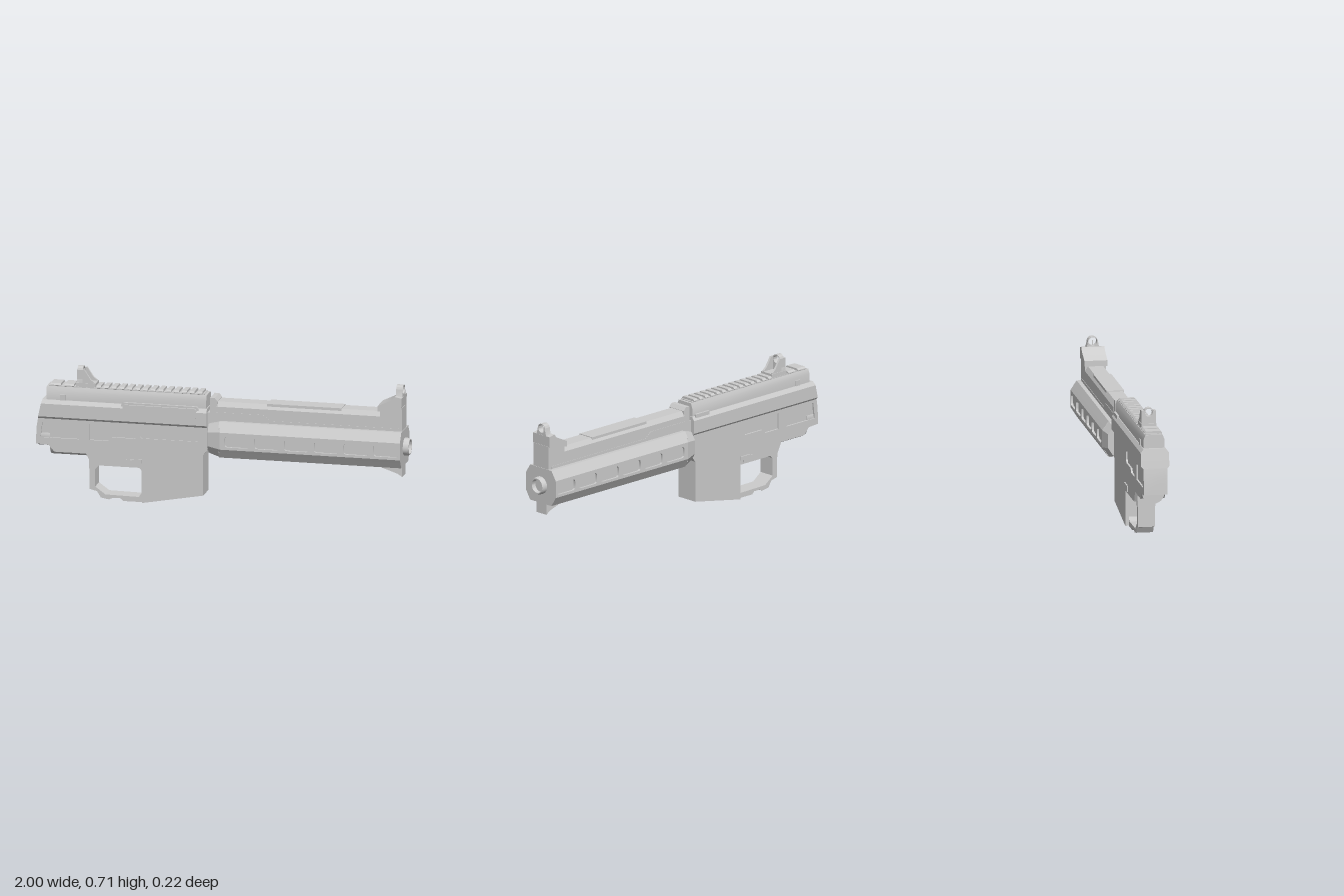
import * as THREE from 'three';
import { toCreasedNormals } from 'three/addons/utils/BufferGeometryUtils.js';

const grey = new THREE.MeshStandardMaterial({ color: 0xcccccc });
const shapeOf = pts => new THREE.Shape(pts.map(p => new THREE.Vector2(...p)));
const mirrorPts = half => [...half, ...half.map(([u, v]) => [-u, v]).reverse()];

// Rectangle outline with rounded corners
function roundRect(x0, x1, y0, y1, r) {
  const s = new THREE.Shape();
  s.absarc(x1 - r, y1 - r, r, 0, Math.PI / 2);
  s.absarc(x0 + r, y1 - r, r, Math.PI / 2, Math.PI);
  s.absarc(x0 + r, y0 + r, r, Math.PI, Math.PI * 1.5);
  s.absarc(x1 - r, y0 + r, r, Math.PI * 1.5, Math.PI * 2);
  return s;
}

// Side outline (x, y) extruded between two z values
function slab(shape, z0, z1) {
  return new THREE.ExtrudeGeometry(shape, { depth: z1 - z0, bevelEnabled: false, curveSegments: 16 }).translate(0, 0, z0);
}

// Cross-section (z, y) extruded between two x values
function along(shape, x0, x1) {
  return new THREE.ExtrudeGeometry(shape, { depth: x1 - x0, bevelEnabled: false, curveSegments: 24 })
    .rotateY(Math.PI / 2).translate(x0, 0, 0);
}

// Move vertices by a rule
function reshape(geo, rule) {
  const p = geo.attributes.position, v = new THREE.Vector3();
  for (let i = 0; i < p.count; i++) {
    rule(v.fromBufferAttribute(p, i));
    p.setXYZ(i, v.x, v.y, v.z);
  }
  geo.computeVertexNormals();
  return geo;
}

export function createModel() {
  const model = new THREE.Group();
  const add = (name, geo, parent = model) => {
    const m = new THREE.Mesh(toCreasedNormals(geo, 0.5), grey);
    m.name = name;
    parent.add(m);
    return m;
  };
  const box = (name, x0, x1, y0, y1, z0, z1) =>
    add(name, new THREE.BoxGeometry(x1 - x0, y1 - y0, z1 - z0)
      .translate((x0 + x1) / 2, (y0 + y1) / 2, (z0 + z1) / 2));

  // Lower receiver: narrow core with side skins that carry the pockets
  const lower = [[-1, 0.29], [-0.93, 0.285], [-0.9, 0.25], [-0.73, 0.25], [-0.7, 0.19], [-0.43, 0.19],
    [-0.43, 0.17], [-0.1, 0.17], [-0.1, 0.28], [-0.08, 0.305], [-0.08, 0.43], [-0.988, 0.43], [-0.996, 0.38]];
  add('lowerReceiverCore', slab(shapeOf(lower), -0.054, 0.054));
  for (const side of [1, -1]) {
    const skin = shapeOf(lower);
    skin.holes.push(
      shapeOf([[-0.975, 0.325], [-0.965, 0.412], [-0.775, 0.412], [-0.767, 0.404], [-0.767, 0.325]]),
      shapeOf([[-0.71, 0.325], [-0.71, 0.412], [-0.458, 0.412], [-0.45, 0.404], [-0.45, 0.36],
        [-0.465, 0.346], [-0.59, 0.346], [-0.612, 0.325]]));
    if (side > 0) skin.holes.push(roundRect(-0.44, -0.118, 0.35, 0.415, 0.015));
    add('lowerReceiverSide', side > 0 ? slab(skin, 0.053, 0.0635) : slab(skin, -0.0635, -0.053));
    const z = side * 0.064;
    box('catchLever', -0.515, -0.45, 0.2, 0.23, z - 0.005, z + 0.005);
    box('catchLeverArm', -0.5, -0.43, 0.215, 0.235, z - 0.006, z + 0.004);
  }
  box('sidePanel', -0.445, -0.112, 0.345, 0.42, 0.05, 0.059);

  // Rounded bosses under the rear end
  const boss = (name, x0, x1, y, r) =>
    add(name, new THREE.CylinderGeometry(r, r, x1 - x0, 28).rotateZ(Math.PI / 2).translate((x0 + x1) / 2, y, 0));
  boss('rearBoss', -0.995, -0.925, 0.328, 0.058);
  boss('gripBoss', -0.925, -0.72, 0.286, 0.06);

  // Magazine well, open below with a sloping rim
  const well = shapeOf([[-0.43, -0.0635], [-0.1, -0.0635], [-0.1, 0.0635], [-0.43, 0.0635]]);
  well.holes.push(shapeOf([[-0.415, -0.053], [-0.115, -0.053], [-0.115, 0.053], [-0.415, 0.053]]));
  const wellGeo = new THREE.ExtrudeGeometry(well, { depth: 0.18, bevelEnabled: false }).rotateX(-Math.PI / 2);
  add('magazineWell', reshape(wellGeo, v => { if (v.y < 0.01) v.y = 0.06 * (v.x + 0.43) / 0.33; }));

  // Trigger guard loop
  const guard = shapeOf([[-0.715, 0.2], [-0.715, 0.055], [-0.675, 0.045], [-0.655, 0.012], [-0.61, 0.004],
    [-0.59, 0.014], [-0.55, 0.014], [-0.535, 0], [-0.425, 0], [-0.425, 0.2]]);
  guard.holes.push(shapeOf([[-0.685, 0.165], [-0.685, 0.07], [-0.63, 0.03], [-0.45, 0.027], [-0.435, 0.05],
    [-0.435, 0.17], [-0.452, 0.19], [-0.66, 0.19]]));
  add('triggerGuard', slab(guard, -0.045, 0.045));
  box('guardPost', -0.717, -0.683, 0.165, 0.25, -0.047, 0.047);

  // Upper receiver with chamfered shoulders and a slanted rear
  const upper = along(shapeOf(mirrorPts([[0.0635, 0.428], [0.075, 0.44], [0.075, 0.51], [0.06, 0.53]])), -0.988, -0.08);
  add('upperReceiver', reshape(upper, v => { if (v.x < -0.9) v.x += Math.max(0, v.y - 0.43) * 0.22; }));
  add('upperSpine', along(shapeOf(mirrorPts([[0.056, 0.52], [0.056, 0.575], [0.046, 0.6]])), -0.945, -0.085));
  add('boltCover', slab(roundRect(-0.54, -0.125, 0.465, 0.54, 0.015), 0.05, 0.069));
  add('boltCoverFrame', slab(roundRect(-0.53, -0.135, 0.475, 0.53, 0.012), 0.06, 0.078));
  box('rearCatch', -0.87, -0.84, 0.53, 0.56, -0.062, 0.062);
  box('frontTab', -0.2, -0.1, 0.52, 0.54, -0.068, -0.05);
  box('barrelNut', -0.11, -0.04, 0.32, 0.51, -0.05, 0.05);

  // Top rail and its teeth
  box('railBase', -0.935, -0.1, 0.595, 0.604, -0.043, 0.043);
  const tooth = shapeOf(mirrorPts([[0.036, 0.598], [0.046, 0.604], [0.046, 0.608], [0.038, 0.616]]));
  for (let i = 0; i < 14; i++) add('railTooth', along(tooth, -0.68 + i * 0.042, -0.655 + i * 0.042));
  add('railTooth', along(tooth, -0.925, -0.87));
  add('railTooth', along(tooth, -0.85, -0.8));

  // Sight ring plate: rounded top, flared foot, round aperture
  const sightPlate = (foot, shoulder, r) => {
    const s = new THREE.Shape();
    s.moveTo(-foot[0], foot[1]);
    s.lineTo(foot[0], foot[1]);
    s.lineTo(shoulder, 0.668);
    s.absarc(0, 0.683, 0.027, 0.1, Math.PI - 0.1);
    s.lineTo(-shoulder, 0.668);
    s.closePath();
    s.holes.push(new THREE.Path().absarc(0, 0.684, r, 0, Math.PI * 2));
    return s;
  };

  // Rear sight
  add('rearSightPlate', along(sightPlate([0.04, 0.6], 0.037, 0.021), -0.785, -0.755));
  for (const z of [-0.038, 0.026]) {
    add('rearSightCheek', slab(shapeOf([[-0.785, 0.6], [-0.69, 0.6], [-0.69, 0.628], [-0.712, 0.645],
      [-0.745, 0.695], [-0.785, 0.695]]), z, z + 0.012));
  }
  box('rearSightBase', -0.79, -0.685, 0.6, 0.625, -0.041, 0.041);

  // Handguard: octagonal core, slotted side plates, tapered rear collar
  const mid = 0.375;
  const core = mirrorPts([[0.08, 0.277], [0.1, 0.309], [0.1, 0.439], [0.08, 0.47]]);
  const octagon = mirrorPts([[0.08, 0.277], [0.112, 0.328], [0.112, 0.42], [0.08, 0.47]]);
  add('handguardCore', along(shapeOf(core), -0.01, 0.97));
  add('handguardCollar', reshape(along(shapeOf(octagon), -0.07, 0), v => {
    if (v.x < -0.05) { v.z *= 0.82; v.y = mid + (v.y - mid) * 0.8; }
  }));
  for (const side of [1, -1]) {
    const plate = shapeOf([[0, 0.309], [0.97, 0.309], [0.97, 0.439], [0, 0.439]]);
    for (let i = 0; i < 6; i++) plate.holes.push(roundRect(0.027 + i * 0.16, 0.16 + i * 0.16, 0.342, 0.402, 0.016));
    const geo = side > 0 ? slab(plate, 0.1, 0.112) : slab(plate, -0.112, -0.1);
    add('handguardSlotPlate', reshape(geo, v => {
      if (Math.abs(v.z) > 0.106) v.y = THREE.MathUtils.clamp(v.y, 0.328, 0.42);
    }));
  }

  // Upper rib along the handguard
  const rib = along(shapeOf(mirrorPts([[0.056, 0.46], [0.056, 0.545], [0.04, 0.57]])), -0.03, 0.95);
  add('topRib', rib);
  add('ribRearStop', slab(shapeOf([[-0.065, 0.46], [-0.025, 0.46], [-0.025, 0.572], [-0.04, 0.59], [-0.065, 0.59]]), -0.054, 0.054));
  box('ribPanel', 0.24, 0.64, 0.56, 0.574, -0.047, 0.047);
  for (const z of [-0.058, 0.05]) {
    add('ribSideStrip', slab(shapeOf([[-0.03, 0.465], [0.95, 0.465], [0.95, 0.485], [0.26, 0.485], [0.22, 0.515], [-0.03, 0.515]]), z, z + 0.008));
  }

  // Front sight tower, ring and post
  box('frontSightColumn', 0.85, 0.967, 0.46, 0.595, -0.056, 0.056);
  add('frontSightBlock', slab(shapeOf([[0.838, 0.572], [0.965, 0.59], [0.967, 0.65], [0.93, 0.657],
    [0.915, 0.638], [0.838, 0.602]]), -0.0615, 0.0615));
  add('frontSightRing', along(sightPlate([0.038, 0.645], 0.03, 0.023), 0.93, 0.966));
  box('frontSightPost', 0.946, 0.95, 0.655, 0.688, -0.002, 0.002);

  // Mount under the front end
  add('lowerFrontMount', slab(shapeOf([[0.85, 0.285], [0.85, 0.265], [0.94, 0.235], [0.965, 0.218], [0.965, 0.285]]), -0.037, 0.037));

  // Muzzle with a recessed bore
  const muzzle = [[0.047, 0.95], [0.047, 0.99], [0.042, 1], [0.037, 1], [0.035, 0.975], [0, 0.975]];
  add('muzzle', new THREE.LatheGeometry(muzzle.map(p => new THREE.Vector2(...p)), 32)
    .rotateZ(-Math.PI / 2).translate(0, mid, 0));

  return model;
}
